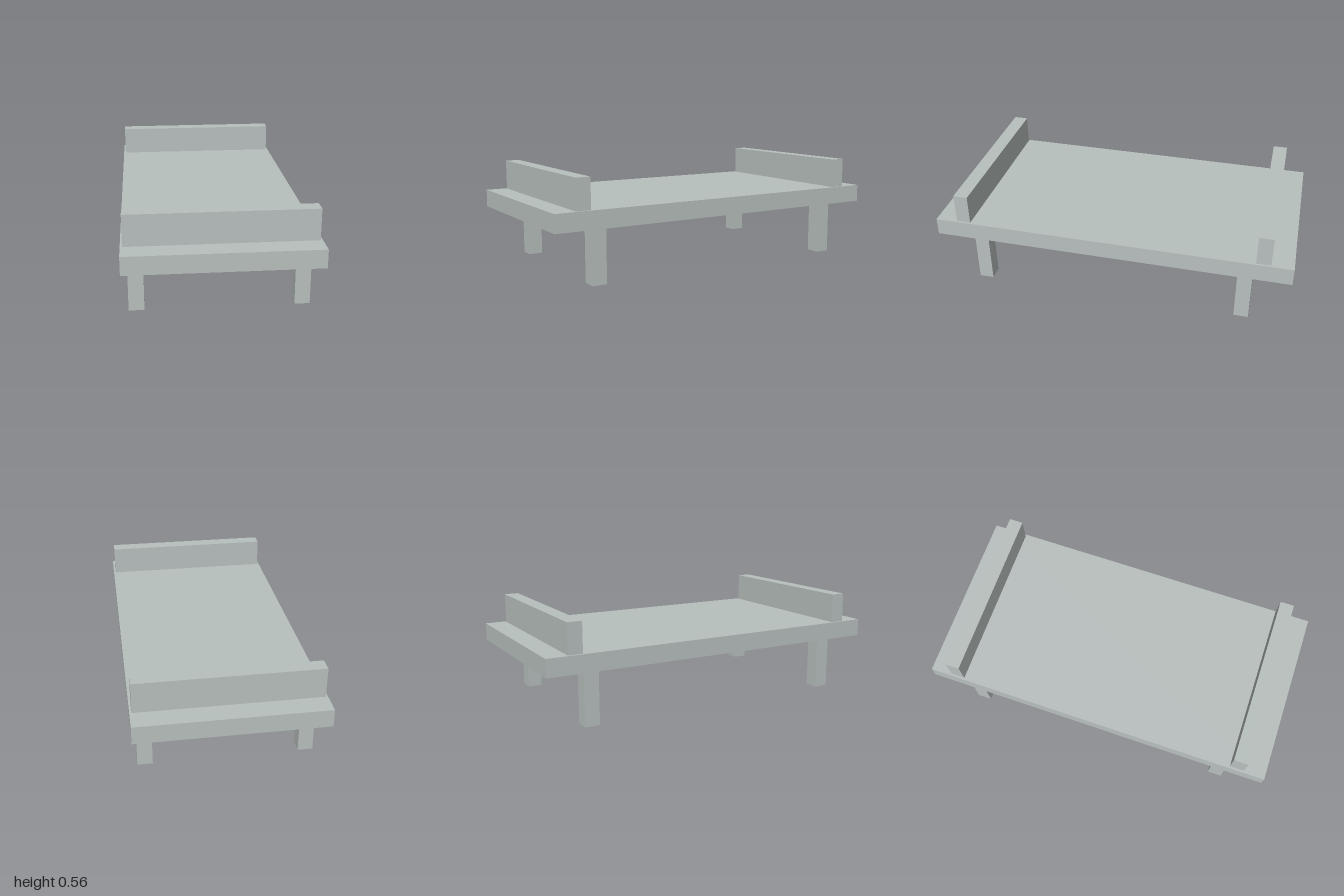
import * as THREE from 'three';

export function createModel() {
  const group = new THREE.Group();
  const grey = new THREE.MeshStandardMaterial({ color: 0xb8c0be });
  grey.name = 'pale grey';

  // Box given by its size, centre x and z, and underside height
  const addBox = (name, [w, h, d], x, bottom, z) => {
    const mesh = new THREE.Mesh(new THREE.BoxGeometry(w, h, d), grey);
    mesh.name = name;
    mesh.position.set(x, bottom + h / 2, z);
    group.add(mesh);
  };

  // Flat bed platform
  addBox('platform', [1, 0.098, 2], 0, 0.293, 0);

  for (const [end, sz] of [['front', 1], ['back', -1]]) {
    // Upright board across each end
    addBox(`${end}Board`, [0.977, 0.166, 0.08], 0, 0.391, sz * 0.84);
    // Square legs
    for (const [side, sx] of [['Left', 1], ['Right', -1]]) {
      addBox(`${end}${side}Leg`, [0.081, 0.293, 0.081], sx * 0.43, 0, sz * 0.75);
    }
  }
  return group;
}
